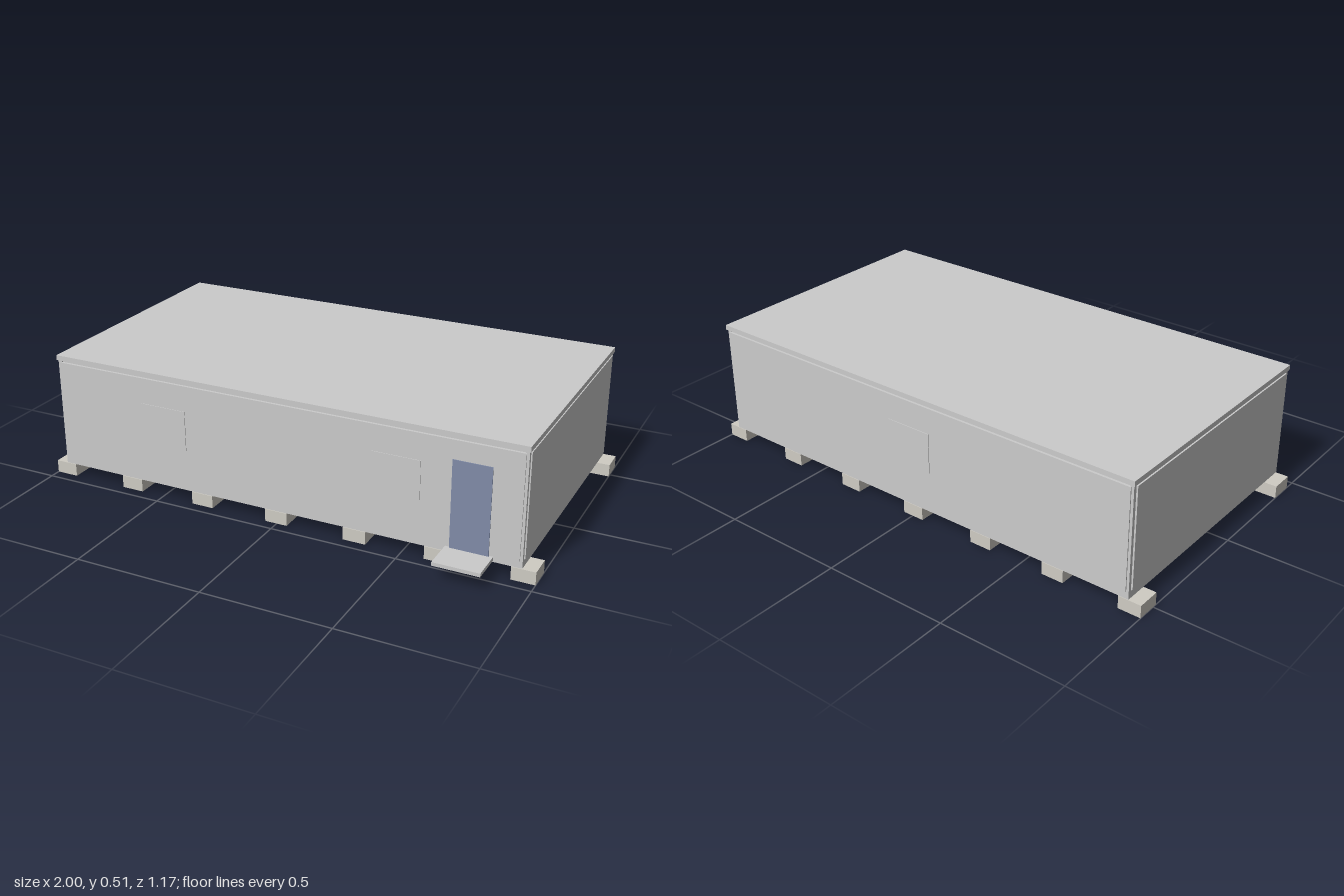
import * as THREE from 'three';

export function createModel() {
  const model = new THREE.Group();
  model.name = 'modularCabin';

  const grey = new THREE.MeshStandardMaterial({ color: 0xcccccc });
  const concrete = new THREE.MeshStandardMaterial({ color: 0xcfccc4 });
  const floorTone = new THREE.MeshStandardMaterial({ color: 0xccc5b6 });
  const blue = new THREE.MeshStandardMaterial({ color: 0x818ca9 });

  // Box given by its lower and upper limits on each axis
  function box(name, [x0, x1], [y0, y1], [z0, z1], material = grey) {
    const mesh = new THREE.Mesh(new THREE.BoxGeometry(x1 - x0, y1 - y0, z1 - z0), material);
    mesh.position.set((x0 + x1) / 2, (y0 + y1) / 2, (z0 + z1) / 2);
    mesh.name = name;
    model.add(mesh);
    return mesh;
  }

  const front = 0.456, back = -0.577, side = 0.95;

  // Main volume, floor and overhanging roof
  box('baseFrame', [-side, side], [0.052, 0.08], [back, front]);
  box('core', [-0.943, 0.943], [0.08, 0.49], [back + 0.006, front - 0.006]);
  box('floor', [-0.945, 0.945], [0.05, 0.054], [back + 0.005, front - 0.005], floorTone);
  box('roof', [-0.955, 0.955], [0.49, 0.51], [-0.583, 0.461]);

  // Corner posts
  for (const s of [-1, 1]) {
    const x = s > 0 ? [0.935, side] : [-side, -0.935];
    box('cornerPost', x, [0.08, 0.49], [front - 0.013, front]);
    box('cornerPost', x, [0.08, 0.49], [back, back + 0.013]);
  }

  // Cladding panels on the four walls, standing proud of the frame
  box('frontWall', [-0.94, 0.94], [0.08, 0.482], [0.44, 0.46]);
  box('backWall', [-0.94, 0.94], [0.08, 0.482], [-0.581, -0.56]);
  box('leftWall', [0.93, 0.954], [0.082, 0.482], [-0.56, 0.44]);
  box('rightWall', [-0.954, -0.93], [0.082, 0.482], [-0.56, 0.44]);

  // Thin window panes
  for (const x of [-0.475, 0.475]) {
    box('frontWindow', [x - 0.095, x + 0.095], [0.22, 0.38], [0.455, 0.4625]);
  }
  box('backWindow', [-0.095, 0.095], [0.22, 0.38], [-0.5835, -0.575]);

  // Door and landing
  box('door', [0.685, 0.83], [0.072, 0.41], [0.45, 0.463], blue);
  box('landing', [0.668, 0.845], [0.058, 0.072], [0.456, 0.583]);

  // Two rows of foundation blocks
  for (const x of [-0.955, -0.64, -0.322, -0.003, 0.317, 0.635, 0.955]) {
    box('frontFoundationBlock', [x - 0.045, x + 0.045], [0, 0.05], [0.362, 0.456], concrete);
    box('backFoundationBlock', [x - 0.045, x + 0.045], [0, 0.05], [-0.577, -0.483], concrete);
  }

  return model;
}
